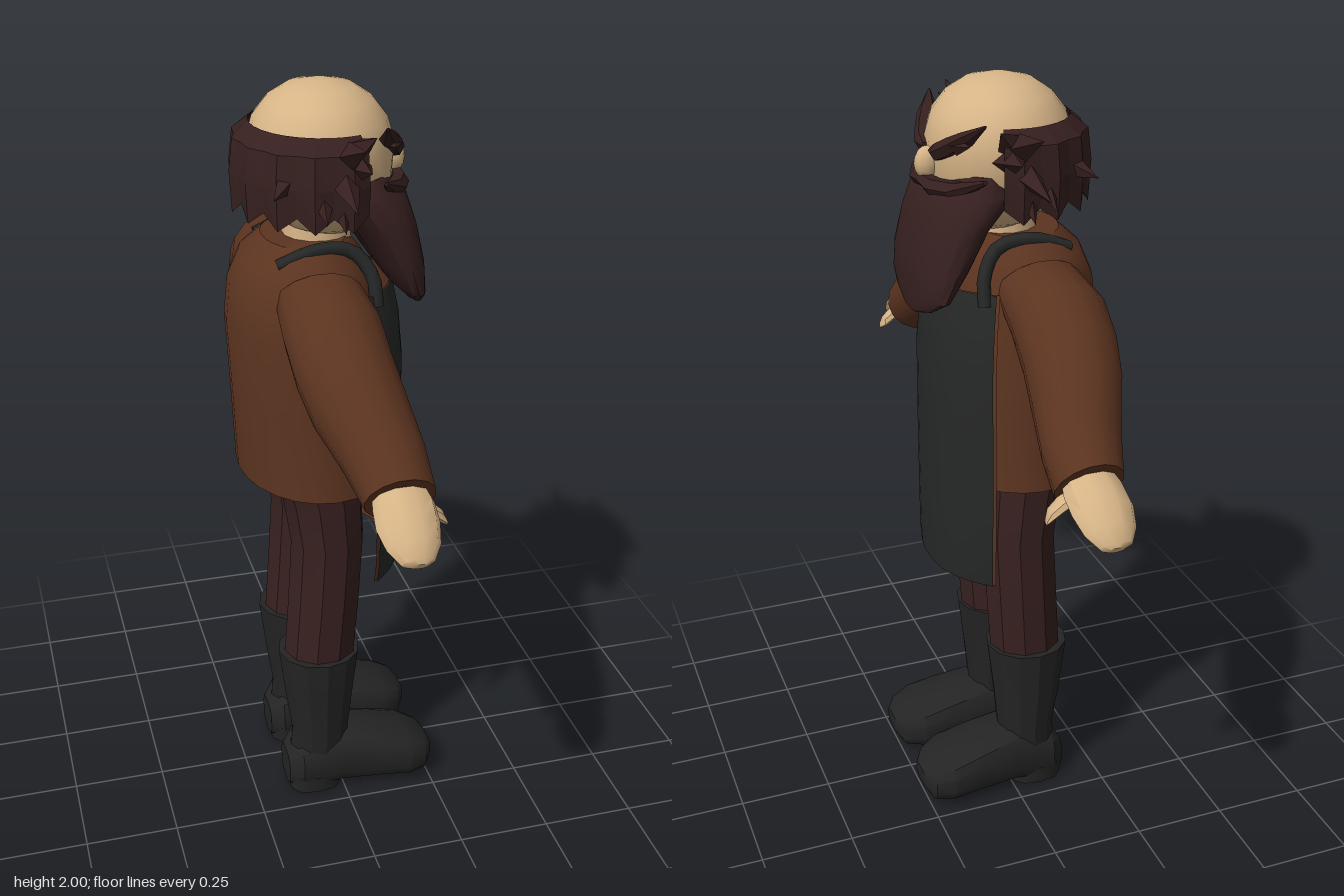
import * as THREE from 'three';
import { toCreasedNormals } from 'three/addons/utils/BufferGeometryUtils.js';

const mat = (name, color, double) => {
  const m = new THREE.MeshStandardMaterial({ color });
  m.name = name;
  if (double) m.side = THREE.DoubleSide;
  return m;
};
const V = (x, y, z) => new THREE.Vector3(x, y, z);

function fromPoints(points, index, crease) {
  const g = new THREE.BufferGeometry();
  g.setAttribute('position', new THREE.Float32BufferAttribute(points.flatMap(p => p.toArray()), 3));
  g.setIndex(index);
  return toCreasedNormals(g, crease);
}

// Closed skin over rings [cx, cy, cz, a, b]; a runs along u and b along v
function loft(rings, u, v, { n = 16, p = 2, crease = 0.7, flute = 0 } = {}) {
  const pts = [], idx = [];
  const centre = r => V(r[0], r[1], r[2]);
  const last = rings.length - 1;
  const flip = u.clone().cross(v).dot(centre(rings[last]).sub(centre(rings[0]))) < 0;
  const tri = (a, b, c) => (flip ? idx.push(a, c, b) : idx.push(a, b, c));
  const bow = t => Math.sign(t) * Math.abs(t) ** (2 / p);
  rings.forEach(r => {
    for (let j = 0; j < n; j++) {
      const t = (j / n) * Math.PI * 2, k = j % 2 ? 1 - flute : 1;
      pts.push(centre(r).addScaledVector(u, r[3] * k * bow(Math.cos(t)))
        .addScaledVector(v, r[4] * k * bow(Math.sin(t))));
    }
  });
  for (let i = 0; i < last; i++) for (let j = 0; j < n; j++) {
    const k = (j + 1) % n, a = i * n, b = a + n;
    tri(a + j, a + k, b + k);
    tri(a + j, b + k, b + j);
  }
  const c = pts.length;
  pts.push(centre(rings[0]), centre(rings[last]));
  for (let j = 0; j < n; j++) {
    const k = (j + 1) % n;
    tri(c, k, j);
    tri(c + 1, last * n + j, last * n + k);
  }
  return fromPoints(pts, idx, crease);
}

// Open sheet: fn(column, row) gives a point
function sheet(cols, rows, fn, crease = 0.5) {
  const pts = [], idx = [], w = cols + 1;
  for (let r = 0; r <= rows; r++) for (let c = 0; c <= cols; c++) pts.push(fn(c, r));
  for (let r = 0; r < rows; r++) for (let c = 0; c < cols; c++) {
    const a = r * w + c;
    idx.push(a, a + w, a + 1, a + 1, a + w, a + w + 1);
  }
  return fromPoints(pts, idx, crease);
}

// Four-sided pointed tuft
function spike(base, tip, r) {
  const d = tip.clone().sub(base), g = new THREE.ConeGeometry(r, d.length(), 4);
  g.applyQuaternion(new THREE.Quaternion().setFromUnitVectors(V(0, 1, 0), d.clone().normalize()));
  const m = base.clone().add(tip).multiplyScalar(0.5);
  return toCreasedNormals(g.translate(m.x, m.y, m.z), 0.1);
}

export function createModel() {
  const skin = mat('skin', 0xd6b487), jacket = mat('jacketBrown', 0x5c3420, true);
  const hair = mat('hairDark', 0x36201f, true), cloth = mat('trouserBrown', 0x382120);
  const boot = mat('bootBlack', 0x242424), apronMat = mat('apronBlack', 0x262727, true);
  const model = new THREE.Group();
  model.name = 'figure';
  const add = (name, geo, m) => {
    const mesh = new THREE.Mesh(geo, m);
    mesh.name = name;
    model.add(mesh);
    return mesh;
  };
  const X = V(1, 0, 0), Y = V(0, 1, 0), Z = V(0, 0, 1);

  // Jacket body: y, centre x, depth, width (the figure faces +x)
  add('jacketBody', loft([
    [0.98, -0.045, 0.2, 0.265], [1.2, -0.055, 0.2, 0.25], [1.4, -0.07, 0.195, 0.25],
    [1.5, -0.07, 0.185, 0.235], [1.57, -0.07, 0.155, 0.2], [1.62, -0.065, 0.105, 0.14],
  ].map(([y, x, a, b]) => [x, y, 0, a, b]), X, Z, { n: 24 }), jacket);

  // Neck and bald head
  add('neck', new THREE.CylinderGeometry(0.08, 0.09, 0.12, 14).translate(-0.03, 1.64, 0), skin);
  add('head', loft([
    [1.625, 0, 0.05, 0.06], [1.65, -0.01, 0.1, 0.11], [1.7, -0.015, 0.15, 0.16],
    [1.77, -0.02, 0.177, 0.19], [1.85, -0.02, 0.182, 0.202], [1.91, -0.02, 0.165, 0.18],
    [1.955, -0.02, 0.13, 0.143], [1.985, -0.02, 0.085, 0.092], [2, -0.02, 0.025, 0.025],
  ].map(([y, x, a, b]) => [x, y, 0, a, b]), X, Z, { n: 24, crease: 1 }), skin);
  add('nose', new THREE.SphereGeometry(1, 10, 8).scale(0.035, 0.042, 0.027).translate(0.165, 1.795, 0), skin);

  // Hair band round the back, with a ragged lower edge
  const band = [[1.905, 0.92], [1.87, 1.1], [1.79, 1.15], [1.72, 1.12], [1.77, 0.86]];
  add('hairBand', sheet(18, 4, (c, r) => {
    const t = THREE.MathUtils.degToRad(72 + c * 12);
    const [y, k] = band[r], odd = c % 2;
    const f = k + (odd && r > 0 && r < 4 ? 0.05 : 0);
    return V(-0.02 + 0.19 * f * Math.cos(t), y - (r === 3 && odd ? 0.035 : 0), 0.2 * f * Math.sin(t));
  }, 0.2), hair);

  // Beard
  add('beard', loft([
    [1.79, 0.06, 0.06, 0.17], [1.74, 0.07, 0.112, 0.2], [1.66, 0.122, 0.085, 0.203],
    [1.56, 0.162, 0.064, 0.203], [1.49, 0.187, 0.039, 0.188], [1.455, 0.204, 0.02, 0.13], [1.43, 0.214, 0.008, 0.05],
  ].map(([y, x, a, b]) => [x, y, 0, a, b]), X, Z, { n: 20, p: 2.3 }), hair);

  // Apron front and its lining
  const apron = inset => sheet(16, 6, (c, r) => {
    const [y, w, x] = [[1.5, 0.19, 0.16], [1.42, 0.215, 0.175], [1.3, 0.23, 0.185], [1.1, 0.235, 0.186],
      [0.9, 0.235, 0.186], [0.76, 0.232, 0.186], [0.7, 0.225, 0.183]][r];
    const t = c / 8 - 1;
    return V(x - 0.105 * Math.abs(t) ** 2.5 - inset, y, -t * w);
  });
  add('apron', apron(0), apronMat);
  add('apronLining', apron(0.009), jacket);

  for (const s of [1, -1]) {
    const side = s < 0 ? 'left' : 'right';
    const put = (name, geo, m) => add(side + name, geo, m);
    const P = (x, y, z) => V(x, y, z * s);
    const mir = rings => rings.map(([x, y, z, a, b]) => [x, y, z * s, a, b]);

    // Apron strap over the shoulder
    put('ApronStrap', new THREE.TubeGeometry(new THREE.CatmullRomCurve3([
      P(0.08, 1.47, 0.175), P(0.075, 1.54, 0.155), P(0.03, 1.602, 0.13), P(-0.06, 1.615, 0.135), P(-0.16, 1.58, 0.13),
    ]), 12, 0.018, 6), apronMat);

    // Sleeve, hand and thumb
    const across = P(0, 0.86, 0.5);
    put('Sleeve', loft(mir([
      [-0.065, 1.505, 0.16, 0.11, 0.09], [-0.065, 1.465, 0.29, 0.122, 0.11], [-0.06, 1.4, 0.38, 0.12, 0.12],
      [-0.045, 1.335, 0.46, 0.115, 0.118], [-0.015, 1.255, 0.56, 0.1, 0.098], [0, 1.19, 0.643, 0.086, 0.083],
    ]), X, across, { n: 14 }), jacket);
    put('Hand', loft(mir([
      [0, 1.21, 0.61, 0.06, 0.05], [0, 1.185, 0.67, 0.074, 0.05], [-0.003, 1.16, 0.715, 0.076, 0.045],
      [-0.003, 1.13, 0.76, 0.064, 0.034], [-0.003, 1.108, 0.792, 0.04, 0.02], [0, 1.104, 0.8, 0.02, 0.01],
    ]), X, across, { n: 10 }), skin);
    put('Thumb', loft(mir([
      [0.04, 1.18, 0.655, 0.02, 0.025], [0.075, 1.155, 0.65, 0.02, 0.024],
      [0.1, 1.135, 0.65, 0.017, 0.02], [0.11, 1.122, 0.655, 0.007, 0.01],
    ]), Y, Z, { n: 7 }), skin);

    // Pleated trouser leg
    put('TrouserLeg', loft(mir([
      [-0.06, 1.02, 0.11, 0.12, 0.112], [-0.045, 0.93, 0.115, 0.107, 0.108], [-0.032, 0.8, 0.118, 0.1, 0.104],
      [-0.042, 0.62, 0.12, 0.1, 0.102], [-0.055, 0.43, 0.12, 0.1, 0.095],
    ]), X, Z, { n: 20, flute: 0.05, crease: 0.2 }), cloth);

    // Boot: shaft and foot
    put('BootShaft', loft(mir([
      [-0.065, 0.08, 0.122, 0.08, 0.08], [-0.055, 0.18, 0.124, 0.08, 0.085],
      [-0.058, 0.3, 0.124, 0.095, 0.097], [-0.058, 0.45, 0.123, 0.113, 0.11],
    ]), X, Z, { n: 12, crease: 0.5 }), boot);
    put('BootFoot', loft(mir([
      [-0.155, 0.055, 0.118, 0.05, 0.055], [-0.12, 0.075, 0.12, 0.075, 0.085], [-0.05, 0.09, 0.122, 0.09, 0.09],
      [-0.005, 0.097, 0.123, 0.092, 0.09], [0.1, 0.088, 0.128, 0.077, 0.1], [0.19, 0.075, 0.132, 0.066, 0.105],
      [0.24, 0.066, 0.135, 0.052, 0.082], [0.262, 0.07, 0.137, 0.024, 0.045],
    ]), Y, Z, { n: 14, p: 3, crease: 0.6 }), boot);
    put('BootHeel', loft(mir([
      [-0.078, 0, 0.12, 0.077, 0.085], [-0.078, 0.05, 0.12, 0.077, 0.088],
    ]), X, Z, { n: 12, p: 3 }), boot);

    // Brow and moustache half
    put('Brow', loft(mir([
      [0.163, 1.83, 0.025, 0.008, 0.008], [0.155, 1.835, 0.06, 0.024, 0.024], [0.138, 1.855, 0.1, 0.026, 0.026],
      [0.115, 1.882, 0.145, 0.028, 0.02], [0.09, 1.922, 0.205, 0.004, 0.004],
    ]), X, Y, { n: 6, crease: 0.2 }), hair);
    put('BrowTuft', spike(P(0.13, 1.86, 0.12), P(0.12, 1.872, 0.185), 0.022), hair);
    put('Moustache', loft(mir([
      [0.175, 1.755, 0, 0.02, 0.016], [0.165, 1.748, 0.06, 0.028, 0.024],
      [0.135, 1.755, 0.13, 0.03, 0.024], [0.09, 1.79, 0.205, 0.006, 0.006],
    ]), X, Y, { n: 6, crease: 0.3 }), hair);

    // Wild tufts over the ears: base, tip
    [
      [0, 1.85, 0.17, 0, 1.915, 0.345], [-0.01, 1.81, 0.17, -0.02, 1.77, 0.35],
      [0.02, 1.83, 0.17, 0.03, 1.845, 0.29], [-0.02, 1.78, 0.17, -0.02, 1.69, 0.25],
      [-0.06, 1.79, 0.16, -0.07, 1.72, 0.265], [-0.12, 1.81, 0.13, -0.19, 1.78, 0.23],
      [0.01, 1.86, 0.175, 0.06, 1.91, 0.225],
    ].forEach(([a, b, c, d, e, f]) => put('HairTuft', spike(P(a, b, c), P(d, e, f), 0.045), hair));
  }
  return model;
}
